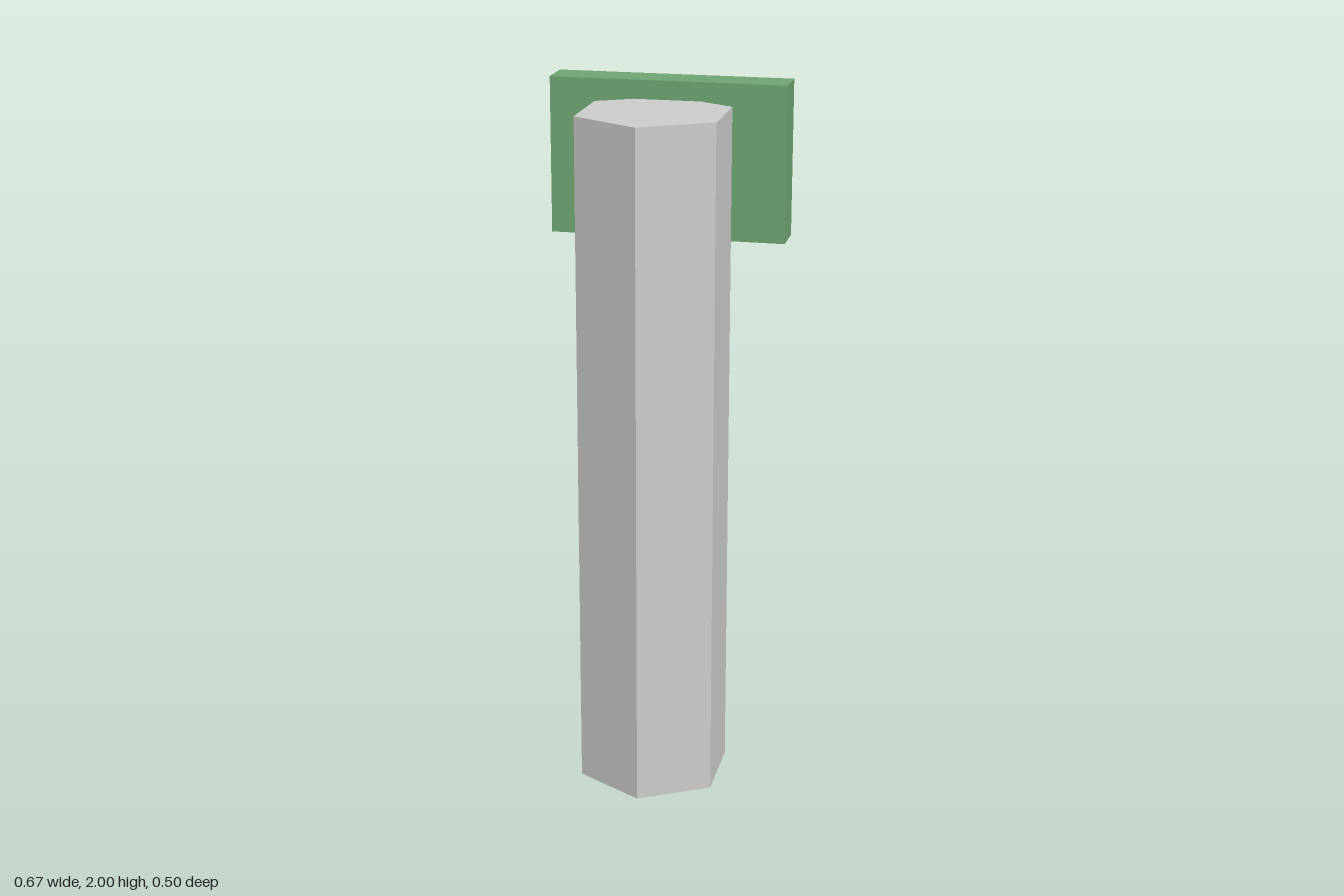
import * as THREE from 'three';

export function createModel() {
  const model = new THREE.Group();

  const add = (name, geometry, color, x, y, z) => {
    const material = new THREE.MeshStandardMaterial({ color, flatShading: true });
    const mesh = new THREE.Mesh(geometry, material);
    mesh.name = name;
    mesh.position.set(x, y, z);
    model.add(mesh);
  };

  // Six-sided post with one corner facing the front
  const postHeight = 1.947;
  add('post', new THREE.CylinderGeometry(0.222, 0.222, postHeight, 6), 0xcccccc, 0, postHeight / 2, 0.027);

  // Sign board sunk into the back of the post, rising just above it
  add('signBoard', new THREE.BoxGeometry(0.666, 0.44, 0.109), 0x6fa572, 0, 1.78, -0.195);

  return model;
}
